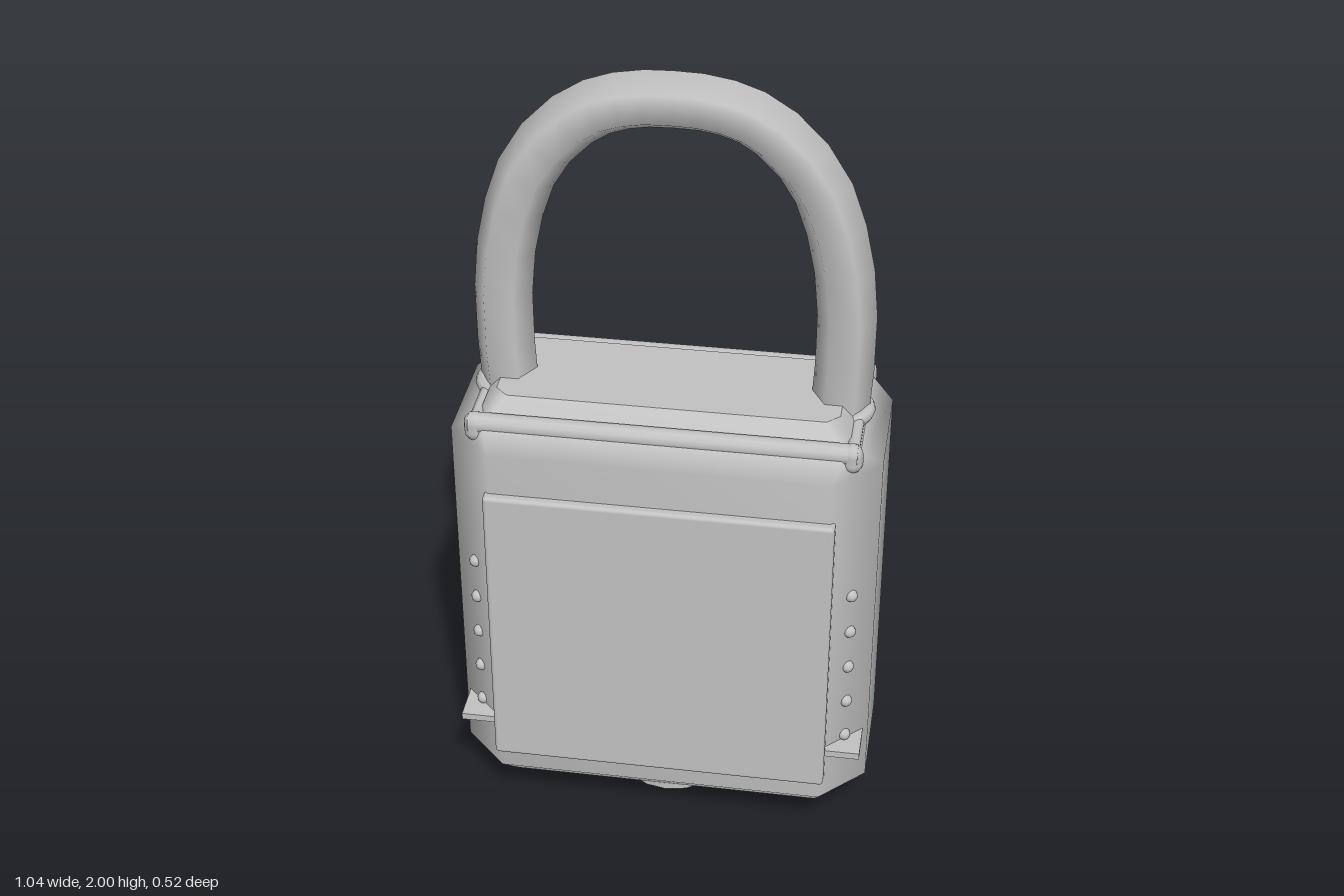
import * as THREE from 'three';
import { RoundedBoxGeometry } from 'three/addons/geometries/RoundedBoxGeometry.js';

const ZC = -0.012; // depth centre of the lock body

// Skin a stack of equal-length rings of Vector3, with flat end caps
function loft(rings) {
  const n = rings[0].length, pos = [], idx = [];
  const add = (p) => pos.push(p.x, p.y, p.z) / 3 - 1;
  rings.forEach((r) => r.forEach(add));
  for (let i = 0; i < rings.length - 1; i++) {
    for (let j = 0; j < n; j++) {
      const a = i * n + j, b = i * n + (j + 1) % n;
      idx.push(a, b, a + n, b, b + n, a + n);
    }
  }
  const first = rings[0].map(add), last = rings[rings.length - 1].map(add);
  for (let j = 1; j < n - 1; j++) {
    idx.push(first[0], first[j + 1], first[j], last[0], last[j], last[j + 1]);
  }
  const g = new THREE.BufferGeometry();
  g.setAttribute('position', new THREE.Float32BufferAttribute(pos, 3));
  g.setIndex(idx);
  g.computeVertexNormals();
  return g;
}

// Horizontal rectangle with cut corners, counter-clockwise from above
function octagon(y, hx, hz, c) {
  return [
    [hx, hz - c], [hx, c - hz], [hx - c, -hz], [c - hx, -hz],
    [-hx, c - hz], [-hx, hz - c], [c - hx, hz], [hx - c, hz],
  ].map(([x, z]) => new THREE.Vector3(x, y, z + ZC));
}

export function createModel() {
  const model = new THREE.Group();
  model.name = 'padlock';
  const steel = new THREE.MeshStandardMaterial({ color: 0xc2c2c2 });
  steel.name = 'steel grey';
  const part = (name, geometry, x = 0, y = 0, z = 0) => {
    const m = new THREE.Mesh(geometry, steel);
    m.name = name;
    m.position.set(x, y, z);
    model.add(m);
    return m;
  };

  // Case with bevelled corners, and the raised lid
  part('body', loft([
    octagon(0.035, 0.41, 0.142, 0.02), octagon(0.14, 0.518, 0.25, 0.11),
    octagon(1.1, 0.518, 0.25, 0.11), octagon(1.145, 0.465, 0.21, 0.04),
  ]));
  part('lid', loft([
    octagon(1.13, 0.455, 0.2, 0.03), octagon(1.172, 0.437, 0.165, 0.03),
    octagon(1.2, 0.41, 0.135, 0.03),
  ]));

  // Rolled rim around the lid with drooping corners
  for (const s of [-1, 1]) {
    const long = part('rimLong', new THREE.CylinderGeometry(0.025, 0.025, 0.92, 12), 0, 1.151, ZC + s * 0.187);
    long.rotation.z = Math.PI / 2;
    const short = part('rimShort', new THREE.CylinderGeometry(0.016, 0.016, 0.37, 10), s * 0.447, 1.153, ZC);
    short.rotation.x = Math.PI / 2;
    for (const t of [-1, 1]) {
      part('rimCorner', new THREE.CapsuleGeometry(0.026, 0.022, 4, 10), s * 0.447, 1.141, ZC + t * 0.187);
    }
  }

  // Shackle: six-sided bar swept along an arch
  const half = [[0.398, 1.12], [0.408, 1.39], [0.382, 1.6], [0.32, 1.765], [0.21, 1.88], [0.11, 1.921]];
  const points = [...half, [0, 1.93], ...half.map(([x, y]) => [-x, y]).reverse()];
  const arch = new THREE.CatmullRomCurve3(points.map(([x, y]) => new THREE.Vector3(x, y, ZC)));
  const rings = [];
  for (let i = 0; i <= 22; i++) {
    const p = arch.getPoint(i / 22), t = arch.getTangent(i / 22);
    const ring = [];
    for (let j = 0; j < 6; j++) {
      const a = j * Math.PI / 3, u = 0.07 * Math.cos(a);
      ring.push(new THREE.Vector3(p.x + t.y * u, p.y - t.x * u, p.z - 0.07 * Math.sin(a)));
    }
    rings.push(ring);
  }
  part('shackle', loft(rings));

  // Collars where the shackle enters the case
  for (const s of [-1, 1]) {
    const collar = part('shackleCollar', new THREE.TorusGeometry(0.068, 0.018, 8, 20), s * 0.399, 1.158, ZC);
    collar.rotation.x = Math.PI / 2;
  }

  // Front panel
  part('frontPanel', new RoundedBoxGeometry(0.84, 0.795, 0.04, 2, 0.01), 0, 0.595, 0.24);

  // Thin square-cornered band plate that shows past the bevels
  part('bandPlate', new THREE.BoxGeometry(1.012, 0.018, 0.506), 0, 0.291, ZC);

  // Rivets up the four bevelled corners
  const rivet = new THREE.SphereGeometry(0.016, 10, 8);
  for (const sx of [-1, 1]) {
    for (const sz of [-1, 1]) {
      for (let i = 0; i < 5; i++) {
        part('rivet', rivet, sx * 0.462, 0.312 + i * 0.109, ZC + sz * 0.195);
      }
    }
  }

  // Keyhole disc and its slot underneath
  part('keyDisc', new THREE.CylinderGeometry(0.137, 0.137, 0.03, 16), 0, 0.025, ZC);
  part('keySlot', new THREE.BoxGeometry(0.17, 0.012, 0.034), 0, 0.006, ZC);

  return model;
}
